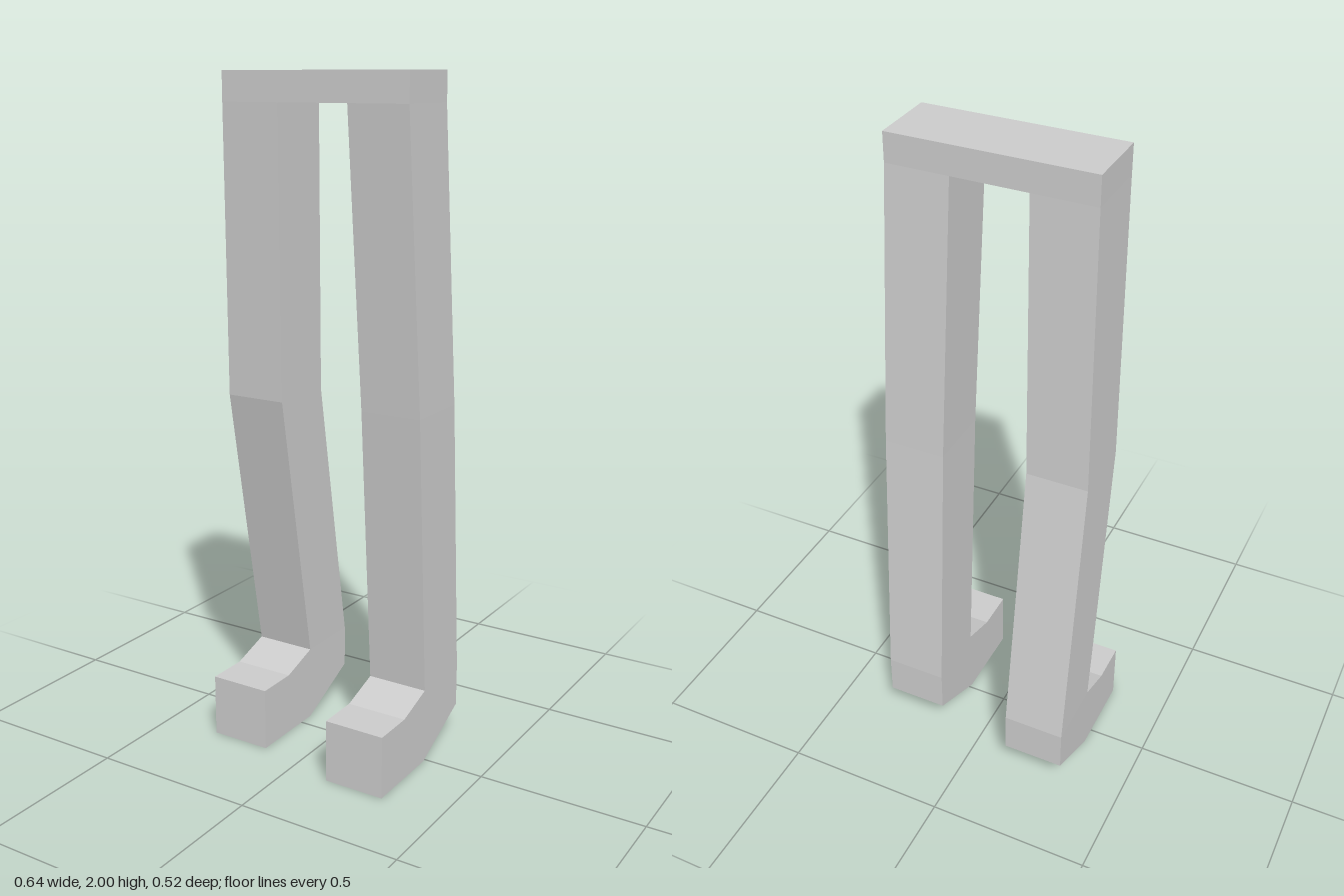
import * as THREE from 'three';

const material = new THREE.MeshStandardMaterial({ color: 0xcccccc, flatShading: true });

// Each station: [inner-low x, high x, front z, front y, back z, back y], from hip to toe
function loftLeg(name, stations) {
  const rings = stations.map(([x0, x1, fz, fy, bz, by]) =>
    [[x0, fy, fz], [x1, fy, fz], [x1, by, bz], [x0, by, bz]]);
  const pos = [];
  const quad = (a, b, c, d) => pos.push(...a, ...b, ...c, ...a, ...c, ...d);
  for (let i = 0; i < rings.length - 1; i++) {
    const a = rings[i], b = rings[i + 1];
    for (let j = 0; j < 4; j++) {
      const k = (j + 1) % 4;
      quad(b[j], b[k], a[k], a[j]);
    }
  }
  // toe cap
  const e = rings[rings.length - 1];
  quad(e[0], e[3], e[2], e[1]);
  const geo = new THREE.BufferGeometry();
  geo.setAttribute('position', new THREE.Float32BufferAttribute(pos, 3));
  geo.computeVertexNormals();
  const mesh = new THREE.Mesh(geo, material);
  mesh.name = name;
  return mesh;
}

// Shank and foot share one shape, shifted along z by the stride
function leg(name, hip, knee, footX, shift) {
  const foot = [
    [0.01, 0.23, -0.197, 0.23],   // ankle
    [0.01, 0.23, -0.197, 0.1],    // heel
    [0.132, 0.19, 0.012, 0],      // sole
    [0.26, 0.19, 0.26, 0],        // toe
  ].map(([fz, fy, bz, by]) => [...footX, fz + shift, fy, bz + shift, by]);
  return loftLeg(name, [hip, knee, ...foot]);
}

export function createModel() {
  const group = new THREE.Group();
  group.name = 'legs';

  // hip bar joining both legs
  const bar = new THREE.Mesh(new THREE.BoxGeometry(0.596, 0.085, 0.207), material);
  bar.position.set(0.005, 1.9575, 0.0285);
  bar.name = 'hipBar';
  group.add(bar);

  group.add(leg('leftLeg',
    [0.116, 0.303, 0.132, 1.915, -0.075, 1.915],
    [0.13, 0.318, 0.075, 1.07, -0.131, 1.07],
    [0.127, 0.314], 0));
  group.add(leg('rightLeg',
    [-0.293, -0.106, 0.132, 1.915, -0.075, 1.915],
    [-0.305, -0.117, 0.11, 1.07, -0.098, 1.07],
    [-0.319, -0.131], -0.063));
  return group;
}
